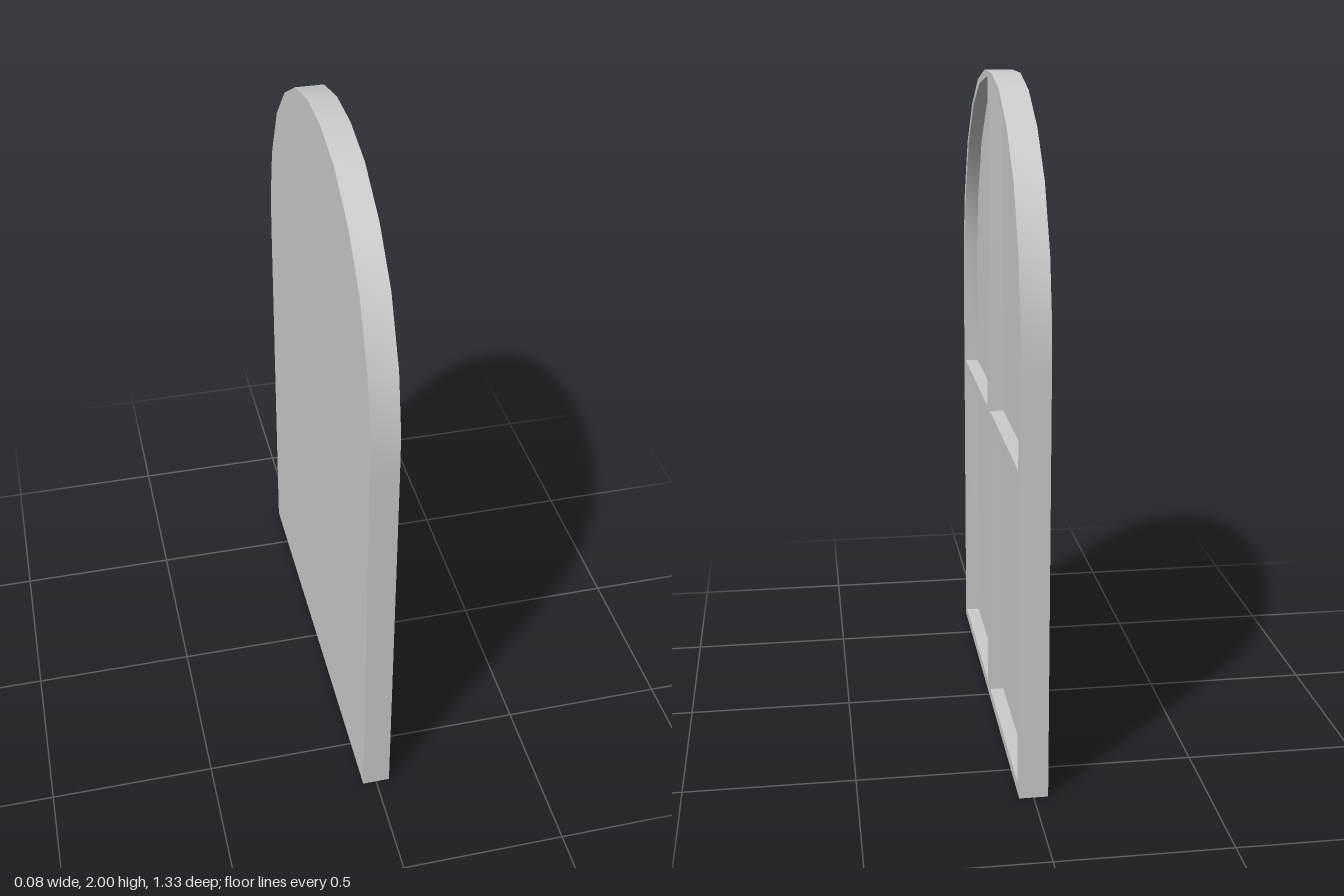
import * as THREE from 'three';
import { toCreasedNormals } from 'three/addons/utils/BufferGeometryUtils.js';

const HALF = 0.042; // half the thickness of the window
const V = ([x, y]) => new THREE.Vector2(x, y);
const mirror = (pts) => pts.map(([x, y]) => [-x, y]).reverse();

// Right half of the arched outline, from the sill up to the crown
const outerHalf = [
  [0.667, 0], [0.667, 1.24], [0.664, 1.38], [0.624, 1.56], [0.528, 1.745],
  [0.398, 1.874], [0.24, 1.963], [0.08, 2],
];
// Counter-clockwise outlines of the right-hand panes
const lowerPane = [[0.028, 0.032], [0.629, 0.032], [0.629, 0.934], [0.028, 0.934]];
const upperPane = [
  [0.028, 0.973], [0.629, 0.973], [0.629, 1.38], [0.59, 1.555], [0.495, 1.745],
  [0.355, 1.878], [0.2, 1.953], [0.06, 1.979], [0.008, 1.983], [0.015, 1.8],
  [0.023, 1.56], [0.027, 1.39],
];

// Closed band of wall along a loop, facing outward for a counter-clockwise loop
function wall(loop, z0, z1) {
  const pos = [];
  loop.forEach((a, i) => {
    const b = loop[(i + 1) % loop.length];
    const [a0, b0, a1, b1] = [[...a, z0], [...b, z0], [...a, z1], [...b, z1]];
    pos.push(...a0, ...b0, ...b1, ...a0, ...b1, ...a1);
  });
  const geometry = new THREE.BufferGeometry();
  geometry.setAttribute('position', new THREE.Float32BufferAttribute(pos, 3));
  return toCreasedNormals(geometry, 0.6);
}

// Flat sheet filling a loop, with optional holes
function sheet(loop, z, holes = []) {
  const shape = new THREE.Shape(loop.map(V));
  shape.holes = holes.map((h) => new THREE.Path(h.map(V)));
  return new THREE.ShapeGeometry(shape).translate(0, 0, z);
}

export function createModel() {
  const model = new THREE.Group();
  model.name = 'archedWindow';
  const material = new THREE.MeshStandardMaterial({ color: 0xcccccc });
  const add = (name, geometry) => {
    // Drawn in the xy plane, then turned so the panes face +x
    const mesh = new THREE.Mesh(geometry.rotateY(Math.PI / 2), material);
    mesh.name = name;
    model.add(mesh);
  };

  const outline = [...outerHalf, ...mirror(outerHalf)];
  const panes = {
    lowerRightPane: lowerPane,
    upperRightPane: upperPane,
    lowerLeftPane: mirror(lowerPane),
    upperLeftPane: mirror(upperPane),
  };

  // Frame: outer edge, face with four openings, and plain back
  add('frameEdge', wall(outline, -HALF, HALF));
  add('frameFace', sheet(outline, HALF, Object.values(panes)));
  add('backPanel', sheet(outline, 0).rotateY(Math.PI).translate(0, 0, -HALF));

  // Panes sunk to mid-thickness, with inward-facing reveals
  for (const [name, loop] of Object.entries(panes)) {
    add(name, sheet(loop, 0));
    add(name + 'Reveal', wall([...loop].reverse(), 0, HALF));
  }
  return model;
}
